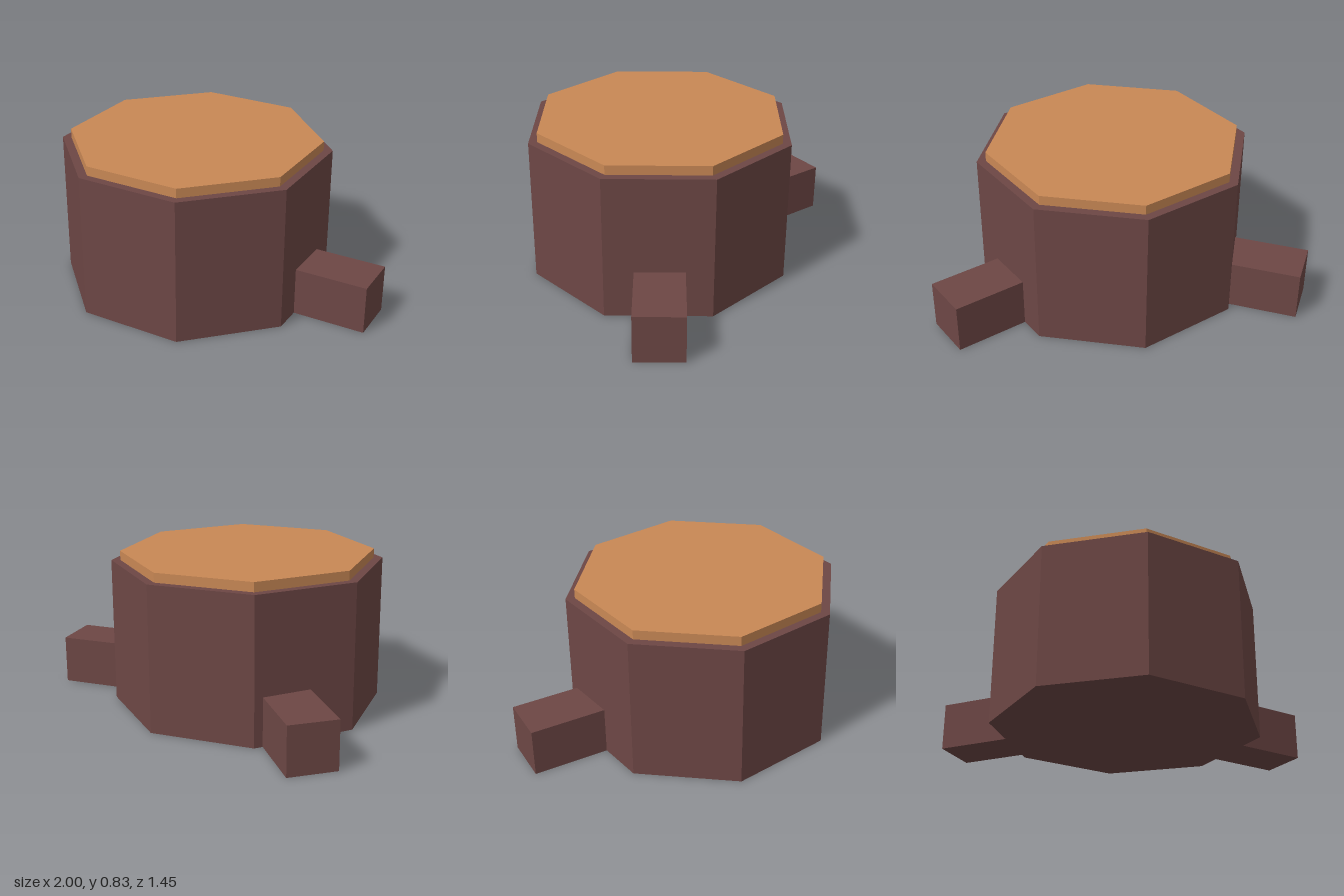
import * as THREE from 'three';

const CX = -0.027; // trunk axis, offset so the roots balance the width

export function createModel() {
  const bark = new THREE.MeshStandardMaterial({ color: 0x6d4745 });
  bark.name = 'bark';
  const wood = new THREE.MeshStandardMaterial({ color: 0xc98855 });
  wood.name = 'cutWood';
  bark.flatShading = wood.flatShading = true;

  const group = new THREE.Group();
  group.name = 'treeStump';

  // Eight-sided prism standing on y0
  function octagon(name, radius, y0, height, material) {
    const mesh = new THREE.Mesh(new THREE.CylinderGeometry(radius, radius, height, 8), material);
    mesh.name = name;
    mesh.position.set(CX, y0 + height / 2, 0);
    group.add(mesh);
  }
  octagon('trunk', 0.727, 0, 0.78, bark);
  octagon('cutTop', 0.679, 0.78, 0.05, wood);

  // Square root stubs reaching out from the trunk
  function root(name, degrees, reach) {
    const inner = 0.5;
    const geometry = new THREE.BoxGeometry(reach - inner, 0.26, 0.26);
    geometry.translate((reach + inner) / 2, 0.13, 0);
    const mesh = new THREE.Mesh(geometry, bark);
    mesh.name = name;
    mesh.position.x = CX;
    mesh.rotation.y = THREE.MathUtils.degToRad(degrees);
    group.add(mesh);
  }
  root('leftRoot', 23, 1.06);
  root('rightRoot', 149, 1.06);

  return group;
}
